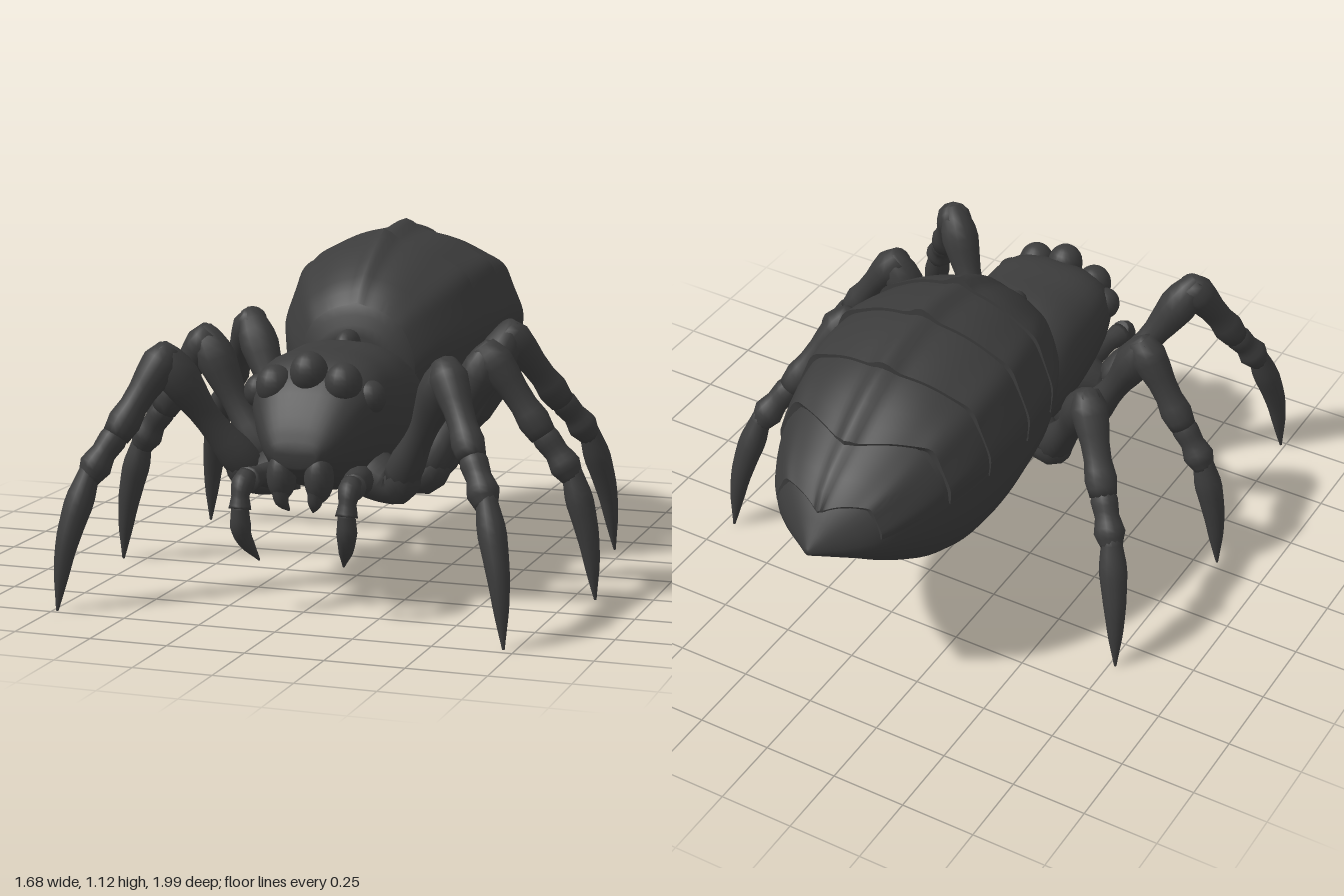
import * as THREE from 'three';
import { toCreasedNormals } from 'three/addons/utils/BufferGeometryUtils.js';

const V = (x, y, z) => new THREE.Vector3(x, y, z);

// Skin a list of rings of points; closed rings wrap around.
function loft(rings, closed = true) {
  const n = rings[0].length, index = [];
  for (let i = 0; i < rings.length - 1; i++) {
    for (let j = 0; j < (closed ? n : n - 1); j++) {
      const k = (j + 1) % n, a = i * n + j, b = i * n + k;
      index.push(a, b, a + n, b, b + n, a + n);
    }
  }
  const geo = new THREE.BufferGeometry().setFromPoints(rings.flat());
  geo.setIndex(index);
  geo.computeVertexNormals();
  return geo;
}

// Body described by sections [z, top, bottom, halfWidth, heightOfWidestPoint]; keel narrows the underside.
function makeBody(sections, cx, power, keel) {
  const c1 = new THREE.CatmullRomCurve3(sections.map(s => V(s[0], s[1], s[2])), false, 'catmullrom', 0.5);
  const c2 = new THREE.CatmullRomCurve3(sections.map(s => V(s[3], s[4], 0)), false, 'catmullrom', 0.5);
  const soft = v => Math.sign(v) * Math.pow(Math.abs(v), power);
  // t runs front to back, angle starts at the top
  return (t, angle, scale = 1) => {
    const p = c1.getPoint(t), q = c2.getPoint(t), c = soft(Math.cos(angle));
    const narrow = 1 - keel * Math.max(0, -c);
    return V(cx + q.x * soft(Math.sin(angle)) * scale * narrow,
      q.y + (c > 0 ? p.y - q.y : q.y - p.z) * c * scale, p.x);
  };
}

function bodyGeometry(at, steps, sides) {
  const rings = [];
  const ring = (t, s) => Array.from({ length: sides }, (_, j) => at(t, j / sides * Math.PI * 2, s));
  rings.push(ring(0, 0));
  for (let i = 0; i <= steps; i++) rings.push(ring(i / steps, 1));
  rings.push(ring(1, 0));
  return loft(rings);
}

// Tapering limb segment along a curve, with capped ends.
function limbGeometry(points, radii, steps = 12, sides = 12) {
  const curve = new THREE.CatmullRomCurve3(points);
  const f = curve.computeFrenetFrames(steps, false);
  const ring = (i, s) => {
    const u = i / steps * (radii.length - 1), k = Math.min(Math.floor(u), radii.length - 2);
    const r = THREE.MathUtils.lerp(radii[k], radii[k + 1], u - k) * s, p = curve.getPointAt(i / steps);
    return Array.from({ length: sides }, (_, j) => {
      const a = j / sides * Math.PI * 2;
      return p.clone().addScaledVector(f.normals[i], Math.cos(a) * r).addScaledVector(f.binormals[i], Math.sin(a) * r);
    });
  };
  const rings = [ring(0, 0)];
  for (let i = 0; i <= steps; i++) rings.push(ring(i, 1));
  rings.push(ring(steps, 0));
  return loft(rings);
}

export function createModel() {
  const model = new THREE.Group();
  model.name = 'spider';
  const shell = new THREE.MeshStandardMaterial({ color: 0x3c3c3c, side: THREE.DoubleSide });
  shell.name = 'charcoal shell';

  const add = (name, geo, parent = model) => {
    const m = new THREE.Mesh(geo, shell);
    m.name = name;
    parent.add(m);
  };
  const ball = (name, x, y, z, rx, ry, rz) =>
    add(name, new THREE.SphereGeometry(1, 18, 12).scale(rx, ry, rz).translate(x, y, z));

  // Abdomen
  const abdomenAt = makeBody([
    [0.235, 0.80, 0.52, 0.14, 0.64], [0.18, 0.93, 0.46, 0.225, 0.69], [0.0, 1.04, 0.40, 0.32, 0.72],
    [-0.15, 1.07, 0.35, 0.355, 0.74], [-0.3, 1.075, 0.315, 0.37, 0.75], [-0.45, 1.05, 0.30, 0.36, 0.74],
    [-0.6, 0.995, 0.35, 0.33, 0.72], [-0.76, 0.895, 0.455, 0.265, 0.69], [-0.89, 0.795, 0.555, 0.175, 0.66],
    [-1.0, 0.645, 0.62, 0.012, 0.632],
  ], -0.015, 0.94, 0);
  add('abdomen', bodyGeometry(abdomenAt, 36, 32));

  // Overlapping back plates [start, end, forward sweep of the sides]: ridged, lifted at the trailing edge, flush at the sides
  const bump = (a, centre, width) => Math.exp(-(((a - centre) / width) ** 2));
  const ridge = a => 0.1 * bump(a, 0, 0.09) + 0.045 * bump(Math.abs(a), 0.85, 0.16) + 0.03 * bump(Math.abs(a), 1.42, 0.14);
  [[0.08, 0.28, 0], [0.19, 0.45, 0.02], [0.36, 0.625, 0.035], [0.55, 0.79, 0.08], [0.72, 0.935, 0.06]].forEach(([t0, t1, sweep], n) => {
    const reach = 1.64 - n * 0.03, count = 64, rings = [];
    const ring = (s, scale) => Array.from({ length: count + 1 }, (_, j) => {
      const a = (j / count * 2 - 1) * reach;
      const t = THREE.MathUtils.lerp(t0, t1, s) - sweep * s * Math.min(1, Math.abs(a) / 0.8);
      const edge = 1 - Math.pow(Math.abs(a) / reach, 8);
      const lift = (0.008 + 0.05 * s) * (0.2 + 0.8 * Math.max(0, Math.cos(a)));
      return abdomenAt(t, a, scale + lift + ridge(a) * (0.3 + 0.7 * s) * edge);
    });
    for (let i = 0; i <= 6; i++) rings.push(ring(i / 6, 1));
    rings.push(ring(1, 0.92));
    add('backPlate' + (n + 1), toCreasedNormals(loft(rings, false), 0.7));
  });

  // Thorax and head
  const headAt = makeBody([
    [0.79, 0.53, 0.47, 0.07, 0.51], [0.755, 0.61, 0.44, 0.12, 0.54], [0.68, 0.72, 0.40, 0.175, 0.6],
    [0.58, 0.79, 0.365, 0.22, 0.63], [0.45, 0.80, 0.335, 0.235, 0.6], [0.32, 0.80, 0.325, 0.24, 0.57],
    [0.2, 0.75, 0.33, 0.235, 0.54], [0.1, 0.66, 0.345, 0.2, 0.5], [0.02, 0.55, 0.39, 0.12, 0.47],
  ], -0.012, 0.78, 0.15);
  add('headAndThorax', bodyGeometry(headAt, 28, 28));
  ball('thoraxBump', -0.015, 0.78, 0.29, 0.04, 0.05, 0.06);

  // Eyes
  [[-0.015, 0.748, 0.65, 0.06], [-0.13, 0.7, 0.648, 0.06], [0.098, 0.718, 0.648, 0.06],
    [-0.2, 0.67, 0.6, 0.05], [0.17, 0.67, 0.6, 0.05]]
    .forEach(([x, y, z, r], i) => ball('eye' + (i + 1), x, y, z, r, r * 1.1, r));

  // Jaws and feelers
  for (const s of [1, -1]) {
    const side = s > 0 ? 'left' : 'right';
    ball(side + 'Jaw', s * 0.062 - 0.008, 0.435, 0.752, 0.046, 0.078, 0.05);
    add(side + 'Fang', limbGeometry([V(s * 0.06 - 0.01, 0.40, 0.765), V(s * 0.055 - 0.01, 0.36, 0.765), V(s * 0.04 - 0.01, 0.325, 0.74)],
      [0.03, 0.022, 0.004]));
    add(side + 'FeelerBase', limbGeometry([V(s * 0.12, 0.40, 0.58), V(s * 0.16, 0.42, 0.7), V(s * 0.175, 0.42, 0.78)],
      [0.055, 0.045, 0.032, 0.042]));
    add(side + 'FeelerJoint', limbGeometry([V(s * 0.172, 0.44, 0.78), V(s * 0.176, 0.40, 0.825), V(s * 0.175, 0.34, 0.84)],
      [0.03, 0.037, 0.028, 0.036]));
    add(side + 'FeelerClaw', limbGeometry([V(s * 0.175, 0.36, 0.84), V(s * 0.172, 0.26, 0.83), V(s * 0.14, 0.165, 0.768)],
      [0.026, 0.033, 0.022, 0.003]));
  }

  // Legs: hip, knee, ankle, foot
  const legs = {
    leftFrontLeg: [[0.24, 0.39, 0.54], [0.44, 0.77, 0.67], [0.63, 0.42, 0.875], [0.715, 0.005, 0.97]],
    leftMiddleLeg: [[0.27, 0.385, 0.34], [0.47, 0.77, 0.315], [0.74, 0.40, 0.305], [0.825, 0.005, 0.31]],
    leftBackLeg: [[0.235, 0.385, 0.13], [0.425, 0.775, -0.07], [0.64, 0.42, -0.285], [0.715, 0.005, -0.38]],
    rightFrontLeg: [[-0.25, 0.39, 0.54], [-0.485, 0.77, 0.69], [-0.66, 0.42, 0.885], [-0.735, 0.005, 0.985]],
    rightMiddleLeg: [[-0.28, 0.385, 0.33], [-0.505, 0.77, 0.295], [-0.75, 0.40, 0.275], [-0.825, 0.005, 0.28]],
    rightBackLeg: [[-0.255, 0.385, 0.13], [-0.485, 0.775, -0.06], [-0.69, 0.42, -0.265], [-0.77, 0.005, -0.36]],
  };
  for (const [name, pts] of Object.entries(legs)) {
    const leg = new THREE.Group();
    leg.name = name;
    model.add(leg);
    const [hip, knee, ankle, foot] = pts.map(p => V(...p));
    const mix = (a, b, t, dy = 0) => a.clone().lerp(b, t).add(V(0, dy, 0));
    add('hipJoint', limbGeometry([V(hip.x * 0.5, 0.42, hip.z * 0.8 + 0.068), mix(hip, knee, 0, -0.005), mix(hip, knee, 0.2)],
      [0.085, 0.078, 0.064, 0.06, 0.045]), leg);
    add('thigh', limbGeometry([mix(hip, knee, 0.03), mix(hip, knee, 0.55, -0.01), mix(hip, knee, 1.07, 0.015)],
      [0.055, 0.062, 0.052, 0.044, 0.047, 0.057, 0.066, 0.06, 0.03]), leg);
    add('shin', limbGeometry([mix(knee, ankle, -0.08, 0.005), mix(knee, ankle, 0.3, 0.008), mix(knee, ankle, 0.66)],
      [0.04, 0.062, 0.056, 0.047, 0.045, 0.053, 0.044]), leg);
    add('ankle', limbGeometry([mix(knee, ankle, 0.58), mix(knee, ankle, 0.85, 0.008), mix(knee, ankle, 1.03)],
      [0.034, 0.045, 0.04, 0.052, 0.034]), leg);
    // claw bows outward before reaching the ground
    const bow = V(foot.x - ankle.x, 0, foot.z - ankle.z).multiplyScalar(0.2);
    add('claw', limbGeometry([mix(ankle, foot, -0.05, 0.015), mix(ankle, foot, 0.5).add(bow), foot],
      [0.03, 0.047, 0.038, 0.025, 0.004], 14), leg);
  }
  return model;
}
